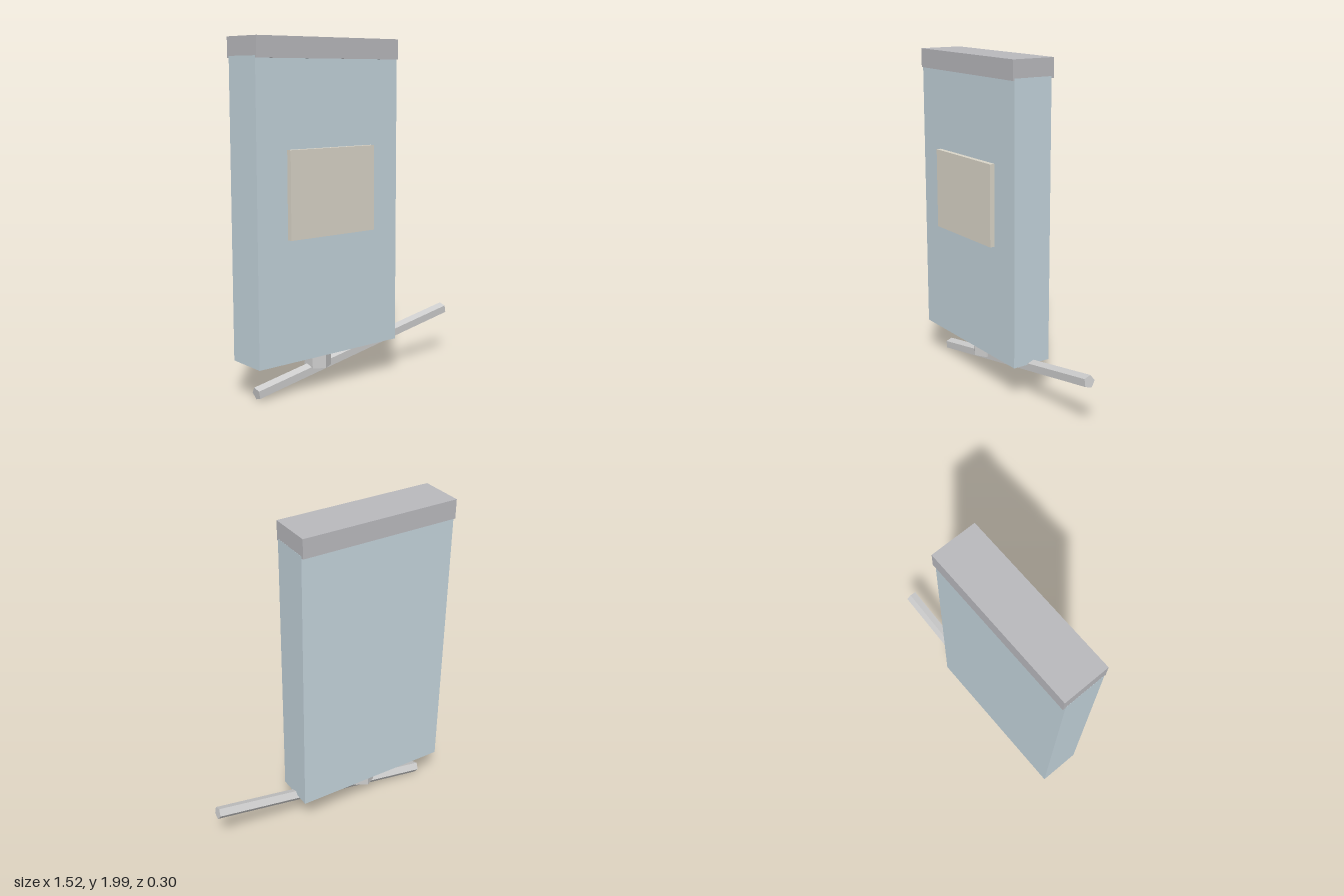
import * as THREE from 'three';

const material = (color) => new THREE.MeshStandardMaterial({ color, flatShading: true });

export function createModel() {
  const group = new THREE.Group();
  const grey = material(0xcccccc);

  const add = (name, geometry, mat, x, y, z) => {
    const mesh = new THREE.Mesh(geometry, mat);
    mesh.name = name;
    mesh.position.set(x, y, z);
    group.add(mesh);
    return mesh;
  };
  // Box given by its extents on each axis
  const box = (name, mat, [x0, x1], [y0, y1], [z0, z1]) =>
    add(name, new THREE.BoxGeometry(x1 - x0, y1 - y0, z1 - z0), mat,
      (x0 + x1) / 2, (y0 + y1) / 2, (z0 + z1) / 2);

  // Tall slab with an overhanging cap and a raised front panel
  box('body', material(0xc2d2da), [-0.765, 0.223], [0.218, 1.897], [-0.132, 0.117]);
  box('cap', material(0xb8b8bc), [-0.7645, 0.2225], [1.885, 2], [-0.148, 0.127]);
  box('frontPanel', material(0xd9d4c7), [-0.567, 0.024], [0.91, 1.4], [0.11, 0.148]);

  // Hexagonal post under the body, corner facing forward
  add('post', new THREE.CylinderGeometry(0.078, 0.078, 0.11, 6), grey, -0.271, 0.177, -0.008);

  // Five-sided rod, flat side forward, tilted up towards the left
  const rod = add('rod', new THREE.CylinderGeometry(0.0376, 0.0376, 1.476, 5, 1, false, Math.PI),
    grey, 0.025, 0.169, -0.0105);
  rod.rotation.z = -Math.PI / 2 + THREE.MathUtils.degToRad(10);

  return group;
}
